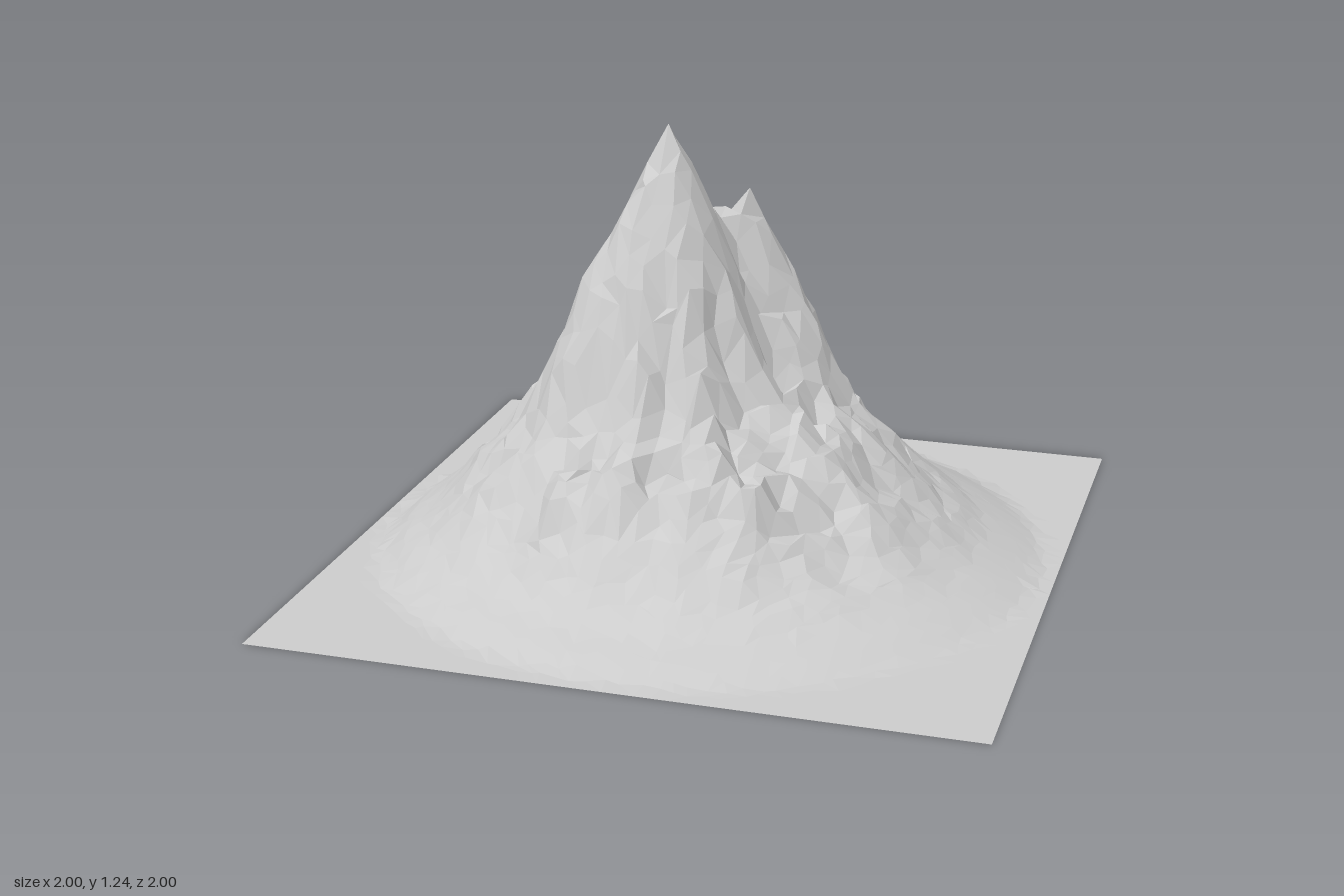
import * as THREE from 'three';

const CELLS = 46;

// Height by distance from the summit axis (steps of 0.1), one profile per compass direction
const PROFILES = {
  right: [1.23, 1.0, 0.77, 0.57, 0.45, 0.36, 0.25, 0.15, 0.08, 0.03, 0],
  left: [1.23, 1.02, 0.82, 0.58, 0.48, 0.40, 0.31, 0.20, 0.11, 0.045, 0],
  front: [1.23, 0.95, 0.74, 0.53, 0.46, 0.36, 0.24, 0.12, 0.055, 0.025, 0],
  back: [1.23, 0.98, 0.82, 0.69, 0.57, 0.45, 0.32, 0.2, 0.1, 0.035, 0],
};

// Crest lines as [x, y, z] points: twin summit with its spurs, and the spurs of the main summit
const CRESTS = [
  [[0.05, 1.01, -0.22], [0.16, 0.67, -0.36], [0.25, 0.39, -0.5], [0.34, 0.18, -0.66]],
  [[0.05, 1.01, -0.22], [0.2, 0.72, -0.2], [0.33, 0.52, -0.22], [0.45, 0.38, -0.25]],
  [[-0.13, 1.23, -0.02], [-0.03, 0.97, -0.13], [0.05, 1.01, -0.22]],
  [[-0.13, 1.23, -0.02], [-0.18, 1.09, 0.06], [-0.28, 0.87, 0.13], [-0.34, 0.56, 0.17], [-0.36, 0.4, 0.32]],
  [[-0.28, 0.74, -0.1], [-0.43, 0.57, -0.14], [-0.6, 0.39, -0.18], [-0.78, 0.16, -0.15]],
  [[0.0, 0.7, 0.2], [0.12, 0.48, 0.34], [0.22, 0.4, 0.42]],
];

const SUMMITS = [[-0.13, 1.235, -0.02], [0.05, 1.015, -0.22], [-0.18, 1.09, 0.06]];

function hash(i, j, seed) {
  const s = Math.sin(i * 127.1 + j * 311.7 + seed * 74.7) * 43758.5453;
  return s - Math.floor(s);
}

// Smooth value noise in -1..1
function noise(x, z, seed) {
  const i = Math.floor(x), j = Math.floor(z);
  const u = THREE.MathUtils.smoothstep(x - i, 0, 1), v = THREE.MathUtils.smoothstep(z - j, 0, 1);
  const a = THREE.MathUtils.lerp(hash(i, j, seed), hash(i + 1, j, seed), u);
  const b = THREE.MathUtils.lerp(hash(i, j + 1, seed), hash(i + 1, j + 1, seed), u);
  return 2 * THREE.MathUtils.lerp(a, b, v) - 1;
}

function sample(table, r) {
  const s = Math.min(r * 10, 9.999), i = Math.floor(s);
  return THREE.MathUtils.lerp(table[i], table[i + 1], s - i);
}

// Height of the steep flanks falling from a slightly rounded crest line
function crestHeight(points, x, z) {
  let best = 0;
  for (let k = 0; k < points.length - 1; k++) {
    const [ax, ay, az] = points[k], [bx, by, bz] = points[k + 1];
    const dx = bx - ax, dz = bz - az;
    const t = THREE.MathUtils.clamp(((x - ax) * dx + (z - az) * dz) / (dx * dx + dz * dz), 0, 1);
    const d = Math.hypot(x - ax - t * dx, z - az - t * dz, 0.02) - 0.02;
    best = Math.max(best, ay + t * (by - ay) - 2.2 * d);
  }
  return best;
}

function heightAt(x, z) {
  const q = Math.hypot(x, z);
  // The axis leans from the centre of the base to the summit
  const lean = Math.max(0, 1 - q);
  const u = x + 0.13 * lean, v = z + 0.02 * lean;
  const r = Math.hypot(u, v) || 1e-6;
  const wx = (u / r) ** 2;
  let h = wx * sample(u > 0 ? PROFILES.right : PROFILES.left, r)
    + (1 - wx) * sample(v > 0 ? PROFILES.front : PROFILES.back, r);
  for (const crest of CRESTS) h = Math.max(h, crestHeight(crest, x, z));

  // Gullies run downhill; broken rock is strongest halfway up and calmer at the back
  const nx = u / r, nz = v / r;
  const gully = Math.abs(noise(nx * 5 + r, nz * 5, 3)) - 0.4;
  const rock = noise(x * 9, z * 9, 5) * 0.6 + noise(x * 20, z * 20, 8) * 0.7;
  const band = THREE.MathUtils.smoothstep(h, 0.03, 0.35) * THREE.MathUtils.smoothstep(r, 0.04, 0.28);
  const calm = THREE.MathUtils.lerp(0.5, 1, THREE.MathUtils.smoothstep(z, -0.6, 0.1));
  h += band * calm * (0.05 * rock - 0.06 * gully - 0.015);
  // The foot meets the flat ground in a circle
  return Math.max(0, h) * (1 - THREE.MathUtils.smoothstep(q, 0.88, 0.99));
}

function mountainGeometry() {
  const step = 2 / CELLS, row = CELLS + 1;
  const positions = [], index = [];
  for (let j = 0; j <= CELLS; j++) {
    for (let i = 0; i <= CELLS; i++) {
      let x = -1 + i * step, z = -1 + j * step;
      // Irregular spacing inside the square border
      if (i > 0 && i < CELLS && j > 0 && j < CELLS) {
        x += (hash(i, j, 1) - 0.5) * step * 0.8;
        z += (hash(i, j, 2) - 0.5) * step * 0.8;
      }
      positions.push(x, heightAt(x, z), z);
    }
  }
  // Pin the nearest vertices to the summits
  for (const [x, y, z] of SUMMITS) {
    const k = 3 * (Math.round((z + 1) / step) * row + Math.round((x + 1) / step));
    positions[k] = x;
    positions[k + 1] = y;
    positions[k + 2] = z;
  }
  // Split each cell along the diagonal with the smaller height difference
  const y = (k) => positions[3 * k + 1];
  for (let j = 0; j < CELLS; j++) {
    for (let i = 0; i < CELLS; i++) {
      const a = j * row + i, b = a + 1, c = a + row, d = c + 1;
      if (Math.abs(y(a) - y(d)) < Math.abs(y(b) - y(c))) index.push(a, c, d, a, d, b);
      else index.push(a, c, b, b, c, d);
    }
  }
  const geometry = new THREE.BufferGeometry();
  geometry.setAttribute('position', new THREE.Float32BufferAttribute(positions, 3));
  geometry.setIndex(index);
  geometry.computeVertexNormals();
  return geometry;
}

export function createModel() {
  const group = new THREE.Group();
  group.name = 'mountain';
  const material = new THREE.MeshStandardMaterial({
    color: 0xcccccc, flatShading: true, side: THREE.DoubleSide,
  });
  const terrain = new THREE.Mesh(mountainGeometry(), material);
  terrain.name = 'mountainTerrain';
  group.add(terrain);
  return group;
}
